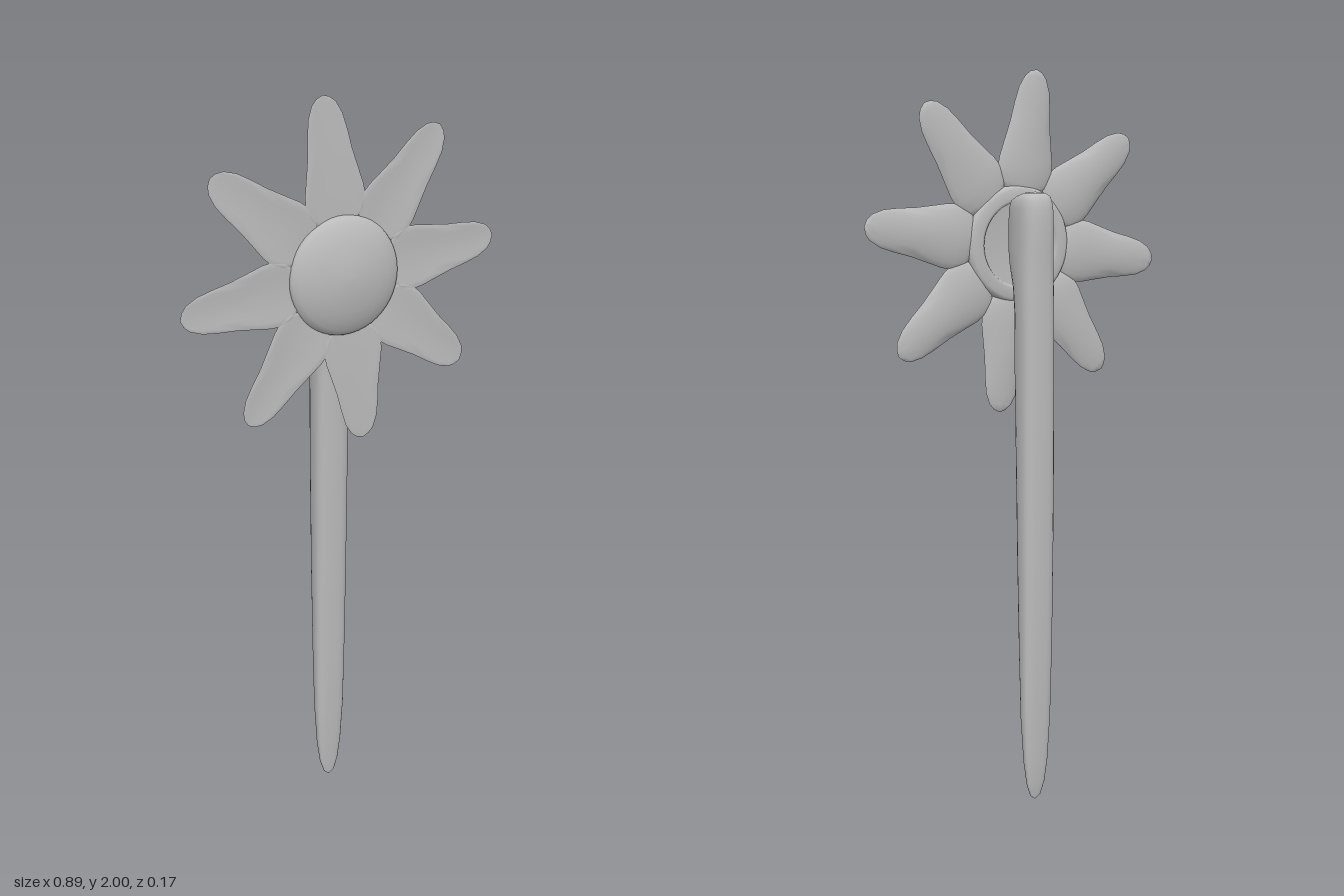
import * as THREE from 'three';
import { toCreasedNormals } from 'three/addons/utils/BufferGeometryUtils.js';

const HEAD_Y = 1.555;

// Closed skin through rings of equal size, stacked along +y
function loft(rings) {
  const n = rings[0].length, index = [];
  for (let i = 0; i < rings.length - 1; i++) {
    for (let j = 0; j < n; j++) {
      const a = i * n + j, b = i * n + (j + 1) % n;
      index.push(a, a + n, b, b, a + n, b + n);
    }
  }
  const geometry = new THREE.BufferGeometry().setFromPoints(rings.flat());
  geometry.setIndex(index);
  geometry.computeVertexNormals();
  return geometry;
}

function ring(count, pointAt) {
  return Array.from({ length: count }, (_, j) => {
    const a = (j / count) * Math.PI * 2;
    return pointAt(Math.cos(a), Math.sin(a));
  });
}

const soften = (v) => Math.sign(v) * Math.pow(Math.abs(v), 0.7);

// Stem: y, half width, back z, front z; it swells forward into the head
function stemGeometry() {
  const rows = [
    [0, 0.001, -0.051, -0.049], [0.012, 0.016, -0.055, -0.046], [0.05, 0.028, -0.061, -0.042],
    [0.12, 0.037, -0.067, -0.036], [0.25, 0.044, -0.073, -0.028], [0.45, 0.047, -0.079, -0.021],
    [0.7, 0.049, -0.083, -0.014], [1.0, 0.05, -0.085, -0.007], [1.25, 0.05, -0.085, 0],
    [1.38, 0.05, -0.085, 0.006], [1.45, 0.05, -0.085, 0.016], [1.5, 0.05, -0.085, 0.034],
    [1.54, 0.05, -0.086, 0.042], [1.61, 0.05, -0.087, 0.042], [1.65, 0.049, -0.085, 0.04],
    [1.67, 0.046, -0.081, 0.03], [1.682, 0.039, -0.076, 0.0], [1.69, 0.025, -0.068, -0.02],
    [1.693, 0.001, -0.046, -0.044],
  ];
  return loft(rows.map(([y, w, back, front]) => ring(24, (c, s) => {
    const taper = front > 0 ? 1 - 0.14 * Math.max(0, s) : 1;
    return new THREE.Vector3(soften(c) * w * taper, y, (back + front) / 2 + soften(s) * (front - back) / 2);
  })));
}

// Petal: distance from the head centre, half width, relative thickness
function petalGeometry() {
  const rows = [
    [0.125, 0.02, 0.3], [0.14, 0.055, 0.6], [0.16, 0.076, 0.8], [0.19, 0.084, 1], [0.22, 0.082, 1],
    [0.26, 0.073, 1], [0.31, 0.062, 0.9], [0.36, 0.055, 0.7], [0.4, 0.047, 0.5],
    [0.43, 0.033, 0.3], [0.444, 0.018, 0.15], [0.45, 0.001, 0.02],
  ];
  const geometry = loft(rows.map(([r, w, t]) => ring(20, (c, s) => {
    const bow = 0.009 * t * (c * c - 0.5);
    return new THREE.Vector3(c * w, r, 0.039 + bow + s * t * (s > 0 ? 0.007 : 0.009));
  })));
  return toCreasedNormals(geometry, 0.9);
}

// Head: domed front, rounded rim and a recessed back
function headGeometry() {
  const profile = [
    [0, 0.036], [0.106, 0.036], [0.111, 0.026], [0.118, 0.024], [0.142, 0.025], [0.151, 0.031],
    [0.155, 0.04], [0.151, 0.049], [0.138, 0.058], [0.115, 0.068], [0.085, 0.077],
    [0.05, 0.083], [0.025, 0.086], [0, 0.087],
  ].map(([r, z]) => new THREE.Vector2(r, z));
  const geometry = new THREE.LatheGeometry(profile, 48);
  geometry.rotateX(Math.PI / 2);
  return geometry;
}

export function createModel() {
  const model = new THREE.Group();
  model.name = 'flower';
  const grey = new THREE.MeshStandardMaterial({ color: 0xbcbcbc });
  grey.name = 'light grey';

  const add = (name, geometry, parent) => {
    const mesh = new THREE.Mesh(geometry, grey);
    mesh.name = name;
    parent.add(mesh);
    return mesh;
  };

  add('stem', stemGeometry(), model);

  const blossom = new THREE.Group();
  blossom.name = 'blossom';
  blossom.position.y = HEAD_Y;
  model.add(blossom);
  add('head', headGeometry(), blossom);

  // Eight petals, turned slightly off the vertical
  const petal = petalGeometry();
  for (let i = 0; i < 8; i++) {
    add('petal' + (i + 1), petal, blossom).rotation.z = THREE.MathUtils.degToRad(7.5 + i * 45);
  }
  return model;
}
